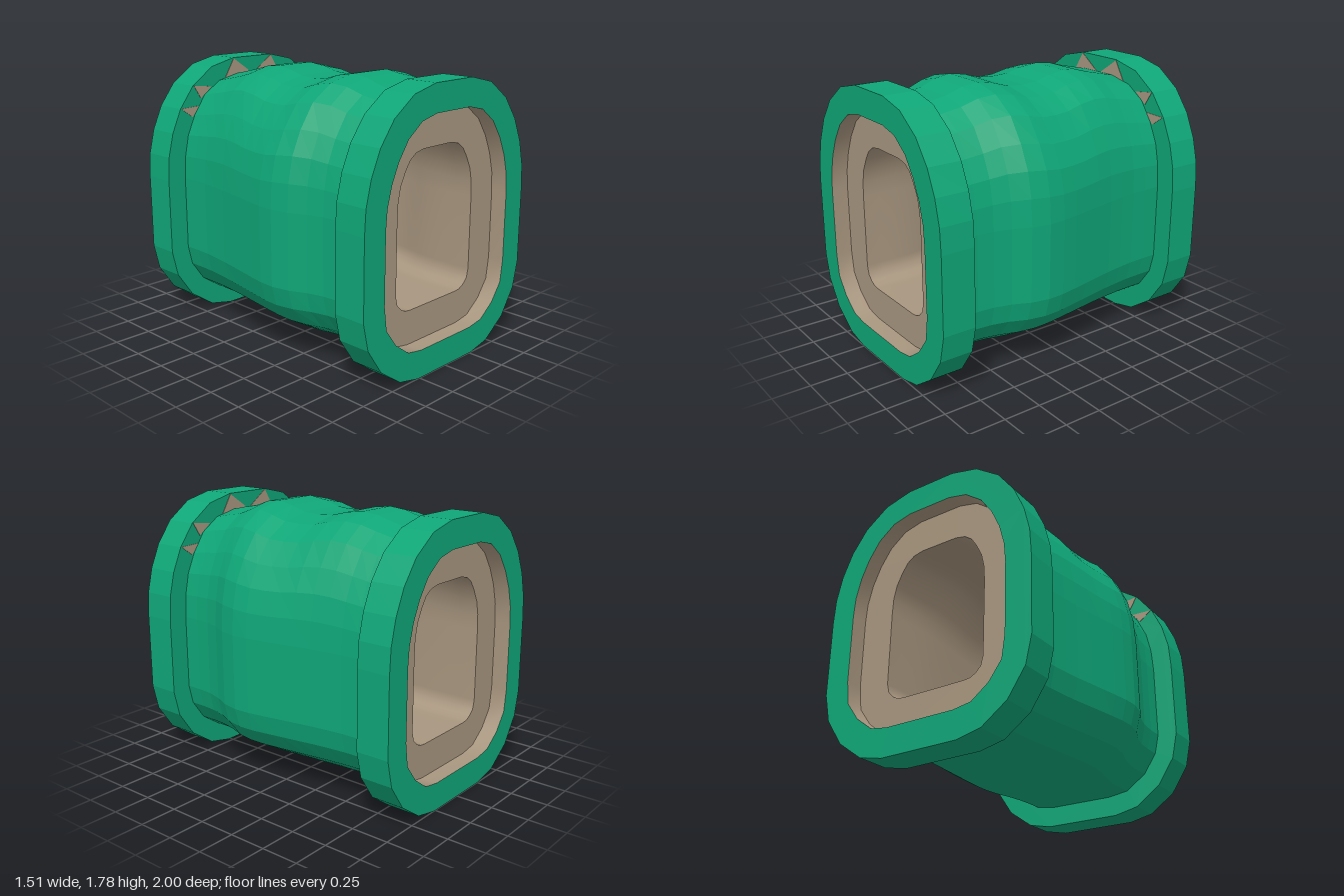
import * as THREE from 'three';

const green = new THREE.MeshStandardMaterial({ color: 0x0fa677 });
green.name = 'tunnel green';
const tan = new THREE.MeshStandardMaterial({ color: 0xa8967f });
tan.name = 'lining tan';

// Right half outlines, from the top edge down to the bottom edge
const mirror = (half) => [...half, ...half.map(([x, y]) => [-x, y]).reverse()];
const collarOutline = mirror([[0.17, 1.78], [0.36, 1.735], [0.525, 1.62], [0.635, 1.475], [0.705, 1.32],
  [0.745, 1.16], [0.755, 1], [0.755, 0.5], [0.715, 0.325], [0.6, 0.155], [0.43, 0.035], [0.265, 0]]);
const recessOutline = mirror([[0.155, 1.605], [0.285, 1.575], [0.4, 1.49], [0.48, 1.375], [0.535, 1.255],
  [0.57, 1.125], [0.58, 1], [0.58, 0.55], [0.56, 0.4], [0.475, 0.285], [0.36, 0.2], [0.24, 0.18]]);
const openingOutline = mirror([[0.13, 1.38], [0.2, 1.365], [0.25, 1.33], [0.29, 1.27], [0.33, 1.19],
  [0.35, 1.1], [0.355, 1], [0.355, 0.52], [0.34, 0.46], [0.305, 0.425], [0.265, 0.405], [0.22, 0.4]]);
const bodyOutline = mirror([[0.14, 1.67], [0.3, 1.635], [0.43, 1.55], [0.52, 1.42], [0.58, 1.29],
  [0.61, 1.15], [0.62, 1], [0.62, 0.51], [0.59, 0.38], [0.5, 0.25], [0.36, 0.155], [0.22, 0.135]]);

// Stations along the tunnel: z, half width, crown height
const stations = [[-0.78, 0.62, 1.67], [-0.67, 0.62, 1.695], [-0.56, 0.623, 1.72], [-0.45, 0.635, 1.75],
  [-0.34, 0.65, 1.76], [-0.22, 0.672, 1.745], [-0.11, 0.692, 1.717], [0, 0.712, 1.71], [0.11, 0.73, 1.717],
  [0.22, 0.735, 1.75], [0.34, 0.71, 1.77], [0.45, 0.66, 1.755], [0.56, 0.63, 1.715],
  [0.67, 0.62, 1.695], [0.78, 0.62, 1.67]];

// Widen an outline and raise its arch above y = 1
function section(outline, [z, w, h]) {
  return outline.map(([x, y]) => [x * w / 0.62, y > 1 ? 1 + (y - 1) * (h - 1) / 0.67 : y, z]);
}

// Skin closed sections ordered by rising z
function loft(sections, { inward = false, flat = false } = {}) {
  const n = sections[0].length, index = [];
  for (let i = 0; i < sections.length - 1; i++) {
    for (let j = 0; j < n; j++) {
      const k = (j + 1) % n;
      const a = i * n + j, b = i * n + k, c = a + n, d = b + n;
      index.push(...(inward ? [a, b, c, c, b, d] : [a, c, b, c, d, b]));
    }
  }
  let geometry = new THREE.BufferGeometry();
  geometry.setAttribute('position', new THREE.Float32BufferAttribute(sections.flat(2), 3));
  geometry.setIndex(index);
  if (flat) geometry = geometry.toNonIndexed();
  geometry.computeVertexNormals();
  return geometry;
}

const toPoints = (outline) => outline.map(([x, y]) => new THREE.Vector2(x, y));
const straight = (outline, z0, z1) => [z0, z1].map((z) => outline.map(([x, y]) => [x, y, z]));

// Flat ring between two outlines, facing +z or -z
function ring(outer, inner, z, back = false) {
  const shape = new THREE.Shape(toPoints(outer));
  shape.holes.push(new THREE.Path(toPoints(inner)));
  const geometry = new THREE.ShapeGeometry(shape);
  if (back) geometry.rotateY(Math.PI);
  return geometry.translate(0, 0, z);
}

function add(parent, name, geometry, material) {
  const mesh = new THREE.Mesh(geometry, material);
  mesh.name = name;
  parent.add(mesh);
}

// Collar with a recessed tan rim, at the +z end
function createCollar(name) {
  const collar = new THREE.Group();
  collar.name = name;
  add(collar, 'collarEdge', loft(straight(collarOutline, 0.78, 1), { flat: true }), green);
  add(collar, 'collarFace', ring(collarOutline, recessOutline, 1), green);
  add(collar, 'collarBack', ring(collarOutline, recessOutline, 0.78, true), green);
  add(collar, 'recessWall', loft(straight(recessOutline, 0.89, 1), { inward: true }), tan);
  add(collar, 'recessRim', ring(recessOutline, openingOutline, 0.89), tan);

  // Small tan wedges on the back of the collar
  const wedges = [
    [[0.17, 1.775], [0.01, 1.665], [0.25, 1.645]],
    [[0.52, 1.62], [0.37, 1.6], [0.465, 1.53]],
    [[0.63, 1.475], [0.48, 1.48], [0.54, 1.41]],
  ];
  for (const side of [-1, 1]) {
    for (const wedge of wedges) {
      const shape = new THREE.Shape(toPoints(wedge.map(([x, y]) => [x * side, y])));
      const geometry = new THREE.ExtrudeGeometry(shape, { depth: 0.005, bevelEnabled: false });
      add(collar, 'collarWedge', geometry.translate(0, 0, 0.777), tan);
    }
  }
  return collar;
}

export function createModel() {
  const model = new THREE.Group();
  model.name = 'tunnel';

  // Faceted outer shell, bulging toward the front
  add(model, 'outerShell', loft(stations.map((s) => section(bodyOutline, s)), { flat: true }), green);

  // Smooth inner passage following the shell
  const passage = [[-0.89, 0.62, 1.67], ...stations, [0.89, 0.62, 1.67]];
  add(model, 'innerPassage', loft(passage.map((s) => section(openingOutline, s)), { inward: true }), tan);

  // A collar at each end
  const backCollar = createCollar('backCollar');
  backCollar.rotation.y = Math.PI;
  model.add(createCollar('frontCollar'), backCollar);
  return model;
}
